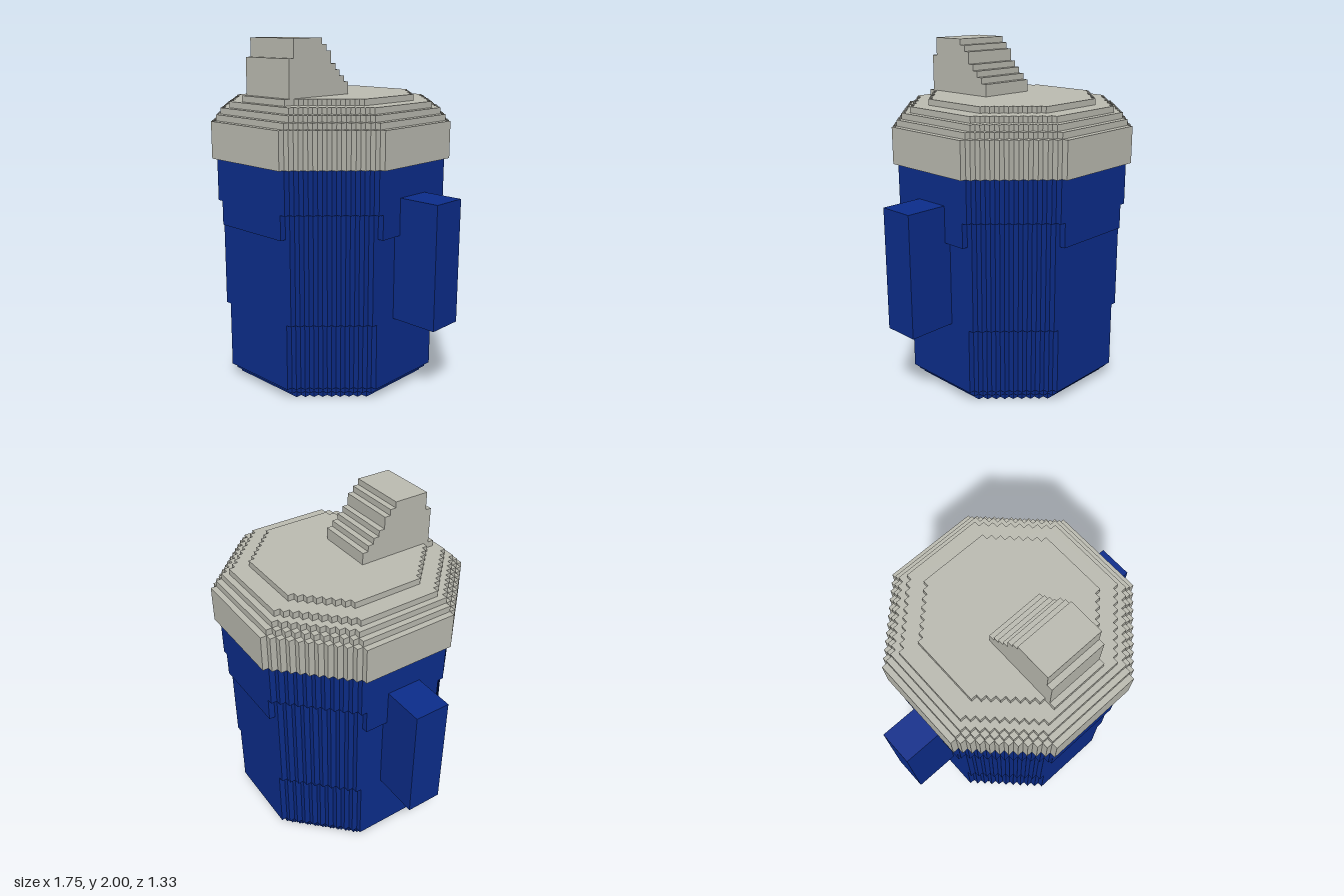
import * as THREE from 'three';

const V = 2 / 57; // edge of one block; all sizes below are in blocks

// Octagon outline whose diagonal sides are one-block stairs
function steppedOctagon(r, flat) {
  const pts = [];
  for (let q = 0; q < 4; q++) {
    const c = [1, 0, -1, 0][q], s = [0, 1, 0, -1][q];
    const add = (x, y) => pts.push(new THREE.Vector2((x * c - y * s) * V, (x * s + y * c) * V));
    for (let i = 0; i <= r - flat; i++) {
      add(r - i, flat + i);
      if (i < r - flat) add(r - i - 1, flat + i);
    }
  }
  return new THREE.Shape(pts);
}

export function createModel() {
  const model = new THREE.Group();
  const blue = new THREE.MeshStandardMaterial({ name: 'blue', color: 0x0c2d8c });
  const grey = new THREE.MeshStandardMaterial({ name: 'warmGrey', color: 0xbcbcb2 });

  // Stack of layers: [bottom, top, radius, half width of the flat side]
  function stack(name, material, layers) {
    const group = new THREE.Group();
    group.name = name;
    layers.forEach(([y0, y1, r, flat], i) => {
      const geo = new THREE.ExtrudeGeometry(steppedOctagon(r, flat), { depth: (y1 - y0) * V, bevelEnabled: false });
      geo.rotateX(-Math.PI / 2).translate(0, y0 * V, 0);
      const mesh = new THREE.Mesh(geo, material);
      mesh.name = `${name}Layer${i + 1}`;
      group.add(mesh);
    });
    model.add(group);
  }

  function box(name, material, x0, x1, y0, y1, z0, z1) {
    const geo = new THREE.BoxGeometry((x1 - x0) * V, (y1 - y0) * V, (z1 - z0) * V);
    const mesh = new THREE.Mesh(geo, material);
    mesh.position.set((x0 + x1) / 2 * V, (y0 + y1) / 2 * V, (z0 + z1) / 2 * V);
    mesh.name = name;
    model.add(mesh);
  }

  // Cup, widening upward in small steps
  stack('cup', blue, [
    [0, 1, 15, 7], [1, 2, 16, 7], [2, 13, 17, 7],
    [13, 27, 17, 8], [27, 31, 18, 7], [31, 38, 18, 8],
  ]);

  // Lid with a stepped shoulder
  stack('lid', grey, [
    [38, 44, 19, 8], [44, 45, 18, 8], [45, 46, 17, 8],
    [46, 47, 16, 7], [47, 48, 13, 6],
  ]);

  // Handles on both sides
  box('leftHandle', blue, 16, 25, 13, 33, -3, 3);
  box('rightHandle', blue, -25, -16, 13, 33, -3, 3);

  // Spout: side profile [z, y] with stairs down the back, extruded across x
  const profile = [
    [1, 47], [15, 47], [15, 48], [14, 48], [14, 54], [13, 54], [13, 57], [7, 57], [7, 56],
    [6, 56], [6, 55], [5, 55], [5, 53], [4, 53], [4, 52], [3, 52], [3, 51], [2, 51], [2, 50], [1, 50],
  ];
  const shape = new THREE.Shape(profile.map(([z, y]) => new THREE.Vector2(-z * V, y * V)));
  const spoutGeo = new THREE.ExtrudeGeometry(shape, { depth: 10 * V, bevelEnabled: false });
  spoutGeo.translate(0, 0, -5 * V).rotateY(Math.PI / 2);
  const spout = new THREE.Mesh(spoutGeo, grey);
  spout.name = 'spout';
  model.add(spout);

  return model;
}
